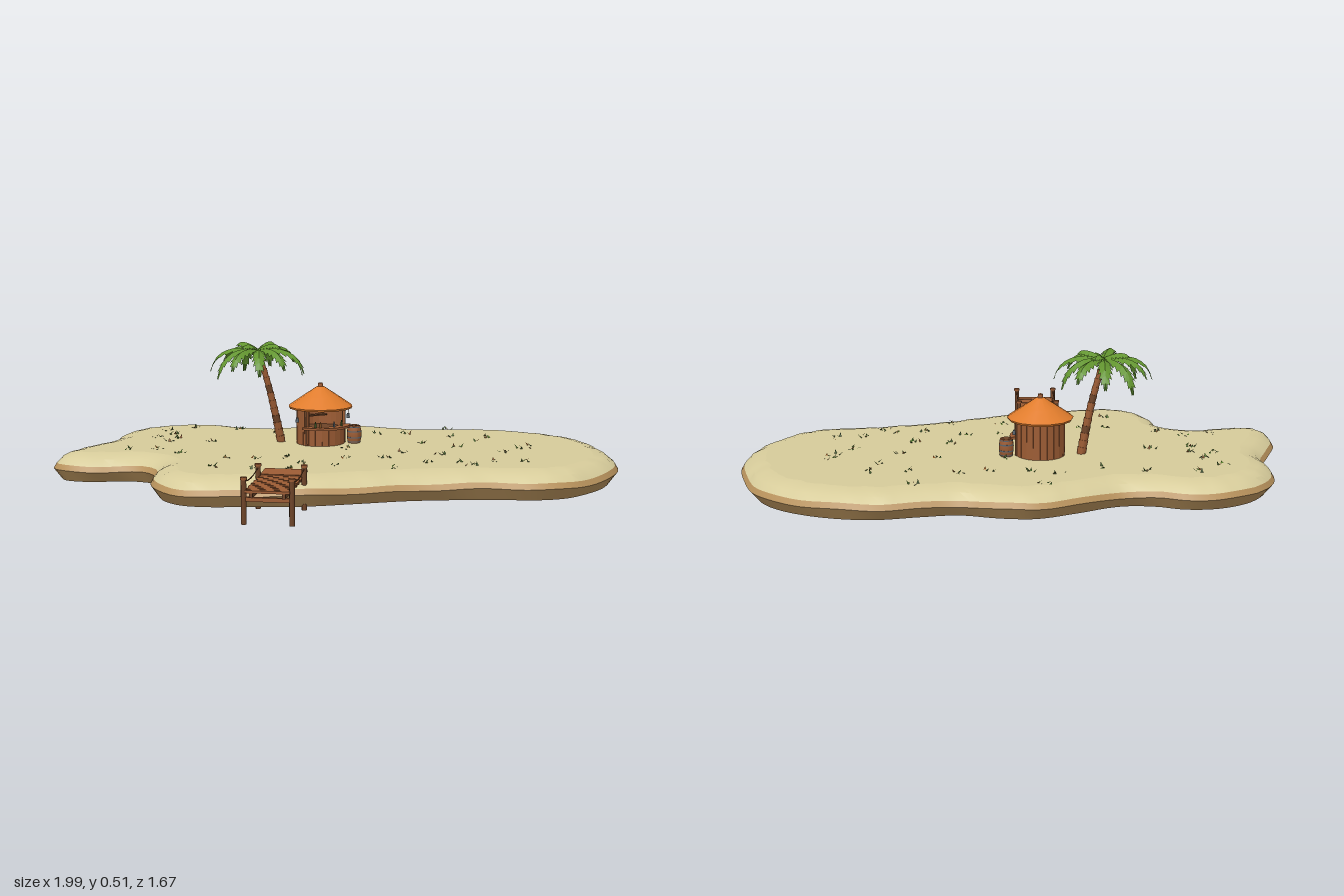
import * as THREE from 'three';
import { mergeGeometries, toCreasedNormals } from 'three/addons/utils/BufferGeometryUtils.js';

const mat = (name, color, double = false) => {
  const m = new THREE.MeshStandardMaterial({ color, side: double ? THREE.DoubleSide : THREE.FrontSide });
  m.name = name;
  return m;
};
const sand = mat('sand', 0xd6cb9a), earth = mat('earth', 0xb8925c), underside = mat('underside', 0x7d6549);
const wood = mat('wood', 0x9c5c34), darkWood = mat('dark wood', 0x6e4428), thatch = mat('thatch', 0xe07c2c);
const leaf = mat('leaf green', 0x62942f, true), metal = mat('grey metal', 0x5b6670);
const grass = mat('grass green', 0x46682c, true), litter = mat('dry leaf', 0xa8682f, true);

const GROUND = 0.115;

function add(parent, name, geo, material, x = 0, y = 0, z = 0) {
  const m = new THREE.Mesh(geo, material);
  m.name = name;
  m.position.set(x, y, z);
  parent.add(m);
  return m;
}
const box = (w, h, d) => new THREE.BoxGeometry(w, h, d);
const cyl = (top, bottom, h, n = 12) => new THREE.CylinderGeometry(top, bottom, h, n);
const group = (name, x = 0, y = 0, z = 0) => {
  const g = new THREE.Group();
  g.name = name;
  g.position.set(x, y, z);
  return g;
};
function fromPositions(pos) {
  const g = new THREE.BufferGeometry();
  g.setAttribute('position', new THREE.Float32BufferAttribute(pos, 3));
  g.computeVertexNormals();
  return g;
}
function seeded(seed) {
  return () => (seed = (seed * 16807) % 2147483647) / 2147483647;
}

// Shoreline, as x, z pairs
const SHORE = [
  -.41, -.84, -.26, -.815, -.145, -.735, -.085, -.64, .005, -.565, .165, -.525, .325, -.475, .43, -.38,
  .515, -.265, .62, -.2, .78, -.11, .905, .03, .98, .19, .995, .32, .955, .47, .87, .645, .745, .755,
  .595, .815, .5, .83, .38, .80, .245, .715, .11, .65, -.02, .595, -.21, .545, -.395, .49, -.555, .405,
  -.69, .335, -.77, .255, -.795, .135, -.77, .04, -.715, -.065, -.73, -.145, -.795, -.205, -.905, -.25,
  -.985, -.33, -.995, -.39, -.93, -.48, -.795, -.565, -.70, -.62, -.635, -.72, -.555, -.795];

function island() {
  const g = group('island');
  const knots = [];
  for (let i = 0; i < SHORE.length; i += 2) knots.push(new THREE.Vector3(SHORE[i], 0, SHORE[i + 1]));
  const N = 150;
  const shore = new THREE.CatmullRomCurve3(knots, true).getSpacedPoints(N).slice(0, N);
  // Outward directions, taken over a wide span so that inset rings stay clean
  const out = shore.map((_, i) => {
    const t = shore[(i + 4) % N].clone().sub(shore[(i + N - 4) % N]).normalize();
    return new THREE.Vector3(t.z, 0, -t.x);
  });
  const ring = (inset, y, wobble = 0, wave = 0) => shore.map((p, i) => {
    const p2 = p.clone().addScaledVector(out[i], -inset + wobble * Math.sin(i * 1.9) * Math.sin(i * 0.37));
    p2.y = y + wave * (Math.sin(i * 0.8) + Math.sin(i * 0.34));
    return p2;
  });
  const loft = (rings) => {
    const pos = [];
    for (let r = 0; r + 1 < rings.length; r++) for (let i = 0; i < N; i++) {
      const j = (i + 1) % N, [a, b, c, d] = [rings[r][i], rings[r][j], rings[r + 1][i], rings[r + 1][j]];
      for (const v of [a, c, d, a, d, b]) pos.push(v.x, v.y, v.z);
    }
    return toCreasedNormals(fromPositions(pos), 0.45);
  };
  const cap = (pts, y, up) => {
    const s = new THREE.Shape(pts.map(p => new THREE.Vector2(p.x, up ? -p.z : p.z)));
    return new THREE.ShapeGeometry(s).rotateX(up ? -Math.PI / 2 : Math.PI / 2).translate(0, y, 0);
  };
  const foot = ring(0.032, 0.012), rim = ring(0.012, 0.076, 0, 0.002), top = ring(0.095, GROUND, 0.008);
  add(g, 'earthBank', loft([foot, ring(0, 0.056, 0, 0.002), rim]), earth);
  add(g, 'sandSlope', loft([rim, ring(0.035, 0.097, 0.004), ring(0.062, 0.109, 0.007), top]), sand);
  add(g, 'sandTop', cap(top, GROUND, true), sand);
  add(g, 'islandUnderside', cap(foot, 0.012, false), underside);
  return g;
}

function hut() {
  const g = group('hut', -0.005, 0, -0.1);
  const planks = 22, r = 0.09;
  for (let i = 0; i < planks; i++) {
    let a = (i / planks) * Math.PI * 2;
    const front = Math.cos(a) > 0.45;
    const h = front ? 0.065 : 0.145;
    const p = add(g, 'wallPlank', box(0.0255, h, 0.008), wood, Math.sin(a) * r, GROUND + h / 2, Math.cos(a) * r);
    p.rotation.y = a;
  }
  // Dark seams behind the planks, and the floor
  add(g, 'lowerLining', cyl(0.088, 0.088, 0.06, 22), darkWood, 0, GROUND + 0.03, 0);
  // Curved counter around the serving opening
  const s = new THREE.Shape();
  s.absarc(0, 0, 0.117, -1.15, 1.15, false);
  s.absarc(0, 0, 0.078, 1.15, -1.15, true);
  const counter = new THREE.ExtrudeGeometry(s, { depth: 0.009, bevelEnabled: false, curveSegments: 14 });
  add(g, 'counter', counter.rotateX(-Math.PI / 2).rotateY(-Math.PI / 2), wood, 0, 0.18, 0);
  // Opening posts, bottles and hanging lanterns
  for (const side of [-1, 1]) {
    add(g, 'openingPost', cyl(0.006, 0.006, 0.145, 6), darkWood, side * 0.084, GROUND + 0.0725, 0.04);
    add(g, 'lanternCord', cyl(0.001, 0.001, 0.03, 4), darkWood, side * 0.113, 0.24, 0.02);
    add(g, 'lantern', cyl(0.005, 0.007, 0.018, 6), metal, side * 0.113, 0.216, 0.02);
  }
  for (const [a, m] of [[-0.7, grass], [-0.5, litter], [0.1, metal], [0.55, grass]]) {
    const x = Math.sin(a) * 0.095, z = Math.cos(a) * 0.095;
    add(g, 'bottle', cyl(0.004, 0.004, 0.014, 6), m, x, 0.196, z);
    add(g, 'bottleNeck', cyl(0.0015, 0.003, 0.009, 6), m, x, 0.207, z);
  }
  add(g, 'backShelf', box(0.11, 0.005, 0.025), darkWood, 0, 0.215, -0.06);
  // Roof in two pitches with a cap
  add(g, 'roofEave', cyl(0.127, 0.123, 0.008, 14), thatch, 0, 0.258, 0);
  add(g, 'roofLower', cyl(0.07, 0.127, 0.039, 14), thatch, 0, 0.2815, 0);
  add(g, 'roofUpper', cyl(0.014, 0.07, 0.037, 14), thatch, 0, 0.3195, 0);
  add(g, 'roofCap', cyl(0.009, 0.011, 0.016, 8), wood, 0, 0.344, 0);
  return g;
}

function barrel() {
  const g = group('barrel', 0.11, GROUND, -0.035);
  const geo = new THREE.CylinderGeometry(0.024, 0.024, 0.068, 12, 4);
  const p = geo.attributes.position;
  for (let i = 0; i < p.count; i++) {
    const k = 1 + 0.2 * (1 - (p.getY(i) / 0.034) ** 2);
    p.setXYZ(i, p.getX(i) * k, p.getY(i), p.getZ(i) * k);
  }
  geo.computeVertexNormals();
  add(g, 'barrelBody', geo, wood, 0, 0.034, 0);
  for (const [y, r] of [[0.006, 0.0255], [0.022, 0.0285], [0.046, 0.0285], [0.062, 0.0255]])
    add(g, 'barrelHoop', cyl(r, r, 0.005, 12), metal, 0, y, 0);
  add(g, 'barrelLid', cyl(0.02, 0.02, 0.002, 12), darkWood, 0, 0.0685, 0);
  return g;
}

// One serrated, folded frond pointing along +z
function frond(length, droop) {
  const n = 8, pos = [];
  const spine = t => [length * Math.sin(t * 1.45) / Math.sin(1.45), 0.085 * t - droop * t * t];
  const width = t => 0.031 * Math.pow(Math.sin(Math.PI * Math.min(1, 0.12 + 0.88 * t)), 0.7);
  for (let i = 0; i < n; i++) for (const s of [-1, 1]) {
    const t0 = i / n, t1 = (i + 1) / n;
    const [z0, y0] = spine(t0), [z1, y1] = spine(t1);
    const w0 = width(t0) * 0.6, w1 = width(t1 - 0.03);
    const a = [0, y0, z0], b = [0, y1, z1];
    const c = [s * w0, y0 - w0 * 0.55, z0], d = [s * w1, y1 - w1 * 0.6, z1 + 0.004];
    const quad = s > 0 ? [a, b, d, a, d, c] : [a, d, b, a, c, d];
    for (const v of quad) pos.push(...v);
  }
  return fromPositions(pos);
}

function palm() {
  const g = group('palmTree');
  const curve = new THREE.CatmullRomCurve3([[-.13, .11, -.195], [-.152, .22, -.2], [-.178, .34, -.21], [-.21, .465, -.225]]
    .map(p => new THREE.Vector3(...p)));
  // Trunk of stacked tapering rings
  const n = 12, up = new THREE.Vector3(0, 1, 0);
  for (let i = 0; i < n; i++) {
    const a = curve.getPoint(i / n), b = curve.getPoint((i + 1) / n), r = 0.019 - 0.008 * i / n;
    const m = add(g, 'trunkRing', cyl(r, r * 0.86, a.distanceTo(b) + 0.004, 8), i % 4 === 3 ? darkWood : wood);
    m.position.copy(a).lerp(b, 0.5);
    m.quaternion.setFromUnitVectors(up, b.clone().sub(a).normalize());
  }
  const crown = group('palmCrown', -0.213, 0.477, -0.225);
  for (let i = 0; i < 11; i++) {
    const f = add(crown, 'frond', frond(0.172 + 0.015 * (i % 2), 0.145 + 0.02 * (i % 3)), leaf);
    f.rotation.y = (i / 11) * Math.PI * 2 + 0.15;
  }
  for (let i = 0; i < 4; i++) {
    const f = add(crown, 'innerFrond', frond(0.1, 0.075), leaf, 0, 0.006, 0);
    f.rotation.y = i * 1.57 + 0.5;
  }
  g.add(crown);
  return g;
}

function dock() {
  const g = group('dock', -0.573, 0, 0.598);
  g.rotation.y = -0.652;
  for (let i = 0; i < 12; i++)
    add(g, 'deckPlank', box(0.15 + 0.006 * (i % 2), 0.009, 0.0185), wood, 0, 0.112, 0.002 - i * 0.0215);
  add(g, 'landingBoard', box(0.152, 0.009, 0.085), wood, 0, 0.117, -0.285).rotation.x = 0.05;
  for (const s of [-1, 1]) {
    add(g, 'deckBeam', box(0.012, 0.016, 0.3), darkWood, s * 0.055, 0.099, -0.14);
    for (const z of [0, -0.23]) {
      add(g, 'post', cyl(0.0095, 0.0095, 0.15, 8), darkWood, s * 0.081, 0.075, z);
      add(g, 'postCap', cyl(0.012, 0.012, 0.009, 8), wood, s * 0.081, 0.1545, z);
    }
    const rope = new THREE.QuadraticBezierCurve3(new THREE.Vector3(s * 0.081, 0.146, 0),
      new THREE.Vector3(s * 0.081, 0.118, -0.115), new THREE.Vector3(s * 0.081, 0.146, -0.23));
    add(g, 'rope', new THREE.TubeGeometry(rope, 10, 0.002, 5), darkWood);
  }
  for (const z of [0, -0.23]) add(g, 'crossBeam', box(0.175, 0.014, 0.012), wood, 0, 0.085, z);
  return g;
}

// Small tufts and dry leaves, as x, z pairs
const TUFTS = [
  -.43, -.65, -.3, -.65, -.44, -.55, -.16, -.53, -.52, -.51, -.52, -.4, -.72, -.32, -.62, -.28, -.45, -.45, -.58, -.16,
  -.37, -.32, .11, -.35, .24, -.4, .16, -.25, .38, -.1, .51, .05, .59, -.11, .14, -.06, -.47, .03, -.37, .07,
  -.26, .11, .02, .07, .33, .1, .17, .23, .4, .25, .54, .18, .62, .12, .62, .39, .65, .36, .51, .42, -.57, .15,
  -.45, .25, -.35, .31, -.26, .24, -.17, .33, -.07, .22, .14, .44, .24, .49, .27, .35, .38, .54, .47, .6, .25, .56,
  -.02, .47, -.06, -.38, .3, -.15, .05, .3];

function groundCover() {
  const g = group('groundCover'), rand = seeded(77), bins = [[], [], []];
  for (let i = 0; i < TUFTS.length; i += 2) for (let k = 0; k < 5; k++) {
    const x = TUFTS[i] + (rand() - 0.5) * 0.045, z = TUFTS[i + 1] + (rand() - 0.5) * 0.045;
    const a = rand() * 6.28, l = 0.009 + rand() * 0.008, h = 0.004 + rand() * 0.011;
    const dx = Math.cos(a), dz = Math.sin(a), w = 0.005, y = GROUND + 0.001;
    bins[(k + i) % 5 < 3 ? 0 : (k + i) % 5 - 2].push(fromPositions([
      x - dz * w, y, z + dx * w, x + dx * l, y + h, z + dz * l, x + dz * w, y, z - dx * w]));
  }
  bins.forEach((b, i) => add(g, ['grassTufts', 'dryLeaves', 'twigs'][i], mergeGeometries(b), [grass, litter, leaf][i]));
  return g;
}

export function createModel() {
  const model = group('islandScene');
  model.add(island(), hut(), barrel(), palm(), dock(), groundCover());
  return model;
}
